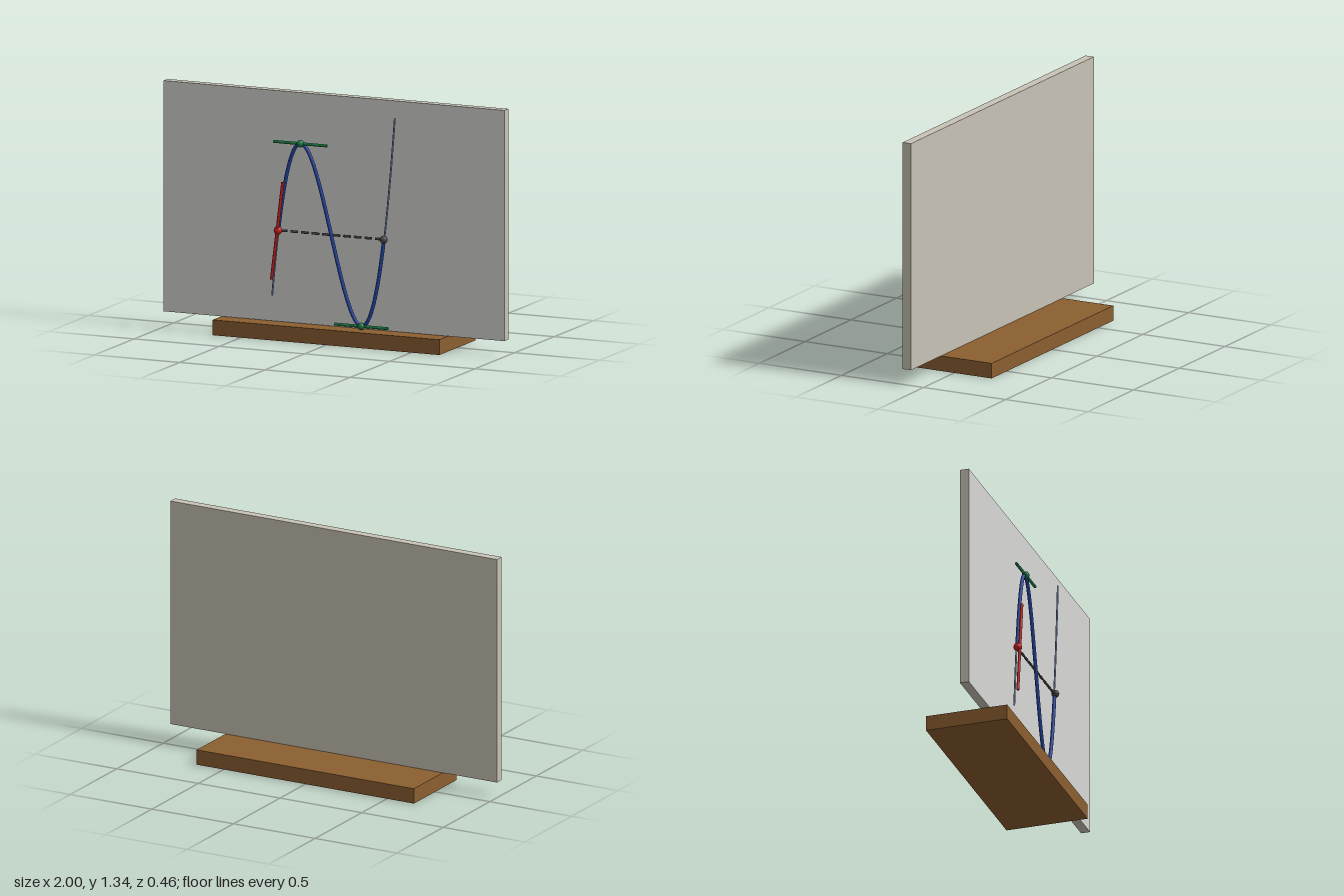
import * as THREE from 'three';

const mat = (name, color) => {
  const m = new THREE.MeshStandardMaterial({ color });
  m.name = name;
  return m;
};

export function createModel() {
  const model = new THREE.Group();
  model.name = 'cubicCurveDisplay';

  const wood = mat('brownWood', 0x8b5e30);
  const panelBack = mat('beigePanel', 0xc8c3b5);
  const panelFront = mat('lightGreyFace', 0xd8d8d6);
  const blue = mat('blueCurve', 0x1f419a);
  const paleBlue = mat('paleBlueCurve', 0x8099bd);
  const red = mat('red', 0xc41e1e);
  const green = mat('green', 0x1b7a43);
  const dark = mat('darkGrey', 0x464646);

  const add = (name, geometry, material, x = 0, y = 0, z = 0) => {
    const mesh = new THREE.Mesh(geometry, material);
    mesh.name = name;
    mesh.position.set(x, y, z);
    model.add(mesh);
    return mesh;
  };

  // Base and upright panel, the panel's front face lighter than the rest
  add('base', new THREE.BoxGeometry(1.33, 0.083, 0.456), wood, 0, 0.0415, 0);
  add('panel', new THREE.BoxGeometry(2, 1.25, 0.05),
    [panelBack, panelBack, panelBack, panelBack, panelFront, panelBack], 0, 0.71, 0.102);

  // Cubic with roots at -root, 0 and root
  const root = 0.31, mid = 0.586, k = 41.9, z = 0.163;
  const cubic = (x) => mid + k * (x ** 3 - root * root * x);

  // Round rod with closed ends
  const rod = (name, a, b, radius, material) => {
    const dir = b.clone().sub(a);
    const mesh = add(name, new THREE.CylinderGeometry(radius, radius, dir.length(), 12), material);
    mesh.position.copy(a).add(b).multiplyScalar(0.5);
    mesh.quaternion.setFromUnitVectors(new THREE.Vector3(0, 1, 0), dir.normalize());
  };

  // Tube along the cubic between two x values, capped with small balls
  const curveTube = (name, x0, x1, radius, material, depth, steps) => {
    const points = [];
    for (let i = 0; i <= steps; i++) {
      const x = x0 + (x1 - x0) * i / steps;
      points.push(new THREE.Vector3(x, cubic(x), depth));
    }
    const path = new THREE.CatmullRomCurve3(points);
    add(name, new THREE.TubeGeometry(path, steps * 3, radius, 12), material);
    for (const p of [points[0], points[steps]]) {
      add(name + 'End', new THREE.SphereGeometry(radius, 12, 8), material, p.x, p.y, p.z);
    }
  };
  curveTube('mainCurve', -root, root, 0.01, blue, z, 48);
  curveTube('leadingCurve', -0.347, -root, 0.005, paleBlue, 0.16, 8);
  curveTube('trailingCurve', root, 0.372, 0.005, paleBlue, 0.16, 8);

  const ball = (name, x, radius, material) =>
    add(name, new THREE.SphereGeometry(radius, 24, 16), material, x, cubic(x), 0.167);

  // Horizontal tangents at the peak and the valley
  const turn = root / Math.sqrt(3);
  for (const [name, x] of [['peak', -turn], ['valley', turn]]) {
    rod(name + 'Tangent', new THREE.Vector3(x - 0.156, cubic(x), 0.167),
      new THREE.Vector3(x + 0.156, cubic(x), 0.167), 0.008, green);
    ball(name + 'Point', x, 0.02, green);
  }

  // Steep tangent at the first root
  const slope = 2 * k * root * root, run = 0.033;
  rod('startTangent', new THREE.Vector3(-root - run, mid - slope * run, 0.179),
    new THREE.Vector3(-root + run, mid + slope * run, 0.179), 0.008, red);
  ball('startPoint', -root, 0.023, red);
  ball('endPoint', root, 0.021, dark);

  // Dashed chord joining the two end roots
  const dashes = 10, pitch = 2 * root / dashes;
  for (let i = 0; i < dashes; i++) {
    const x = -root + pitch * (i + 0.5);
    rod('chordDash', new THREE.Vector3(x - 0.02, mid, 0.162),
      new THREE.Vector3(x + 0.02, mid, 0.162), 0.007, dark);
  }
  return model;
}
